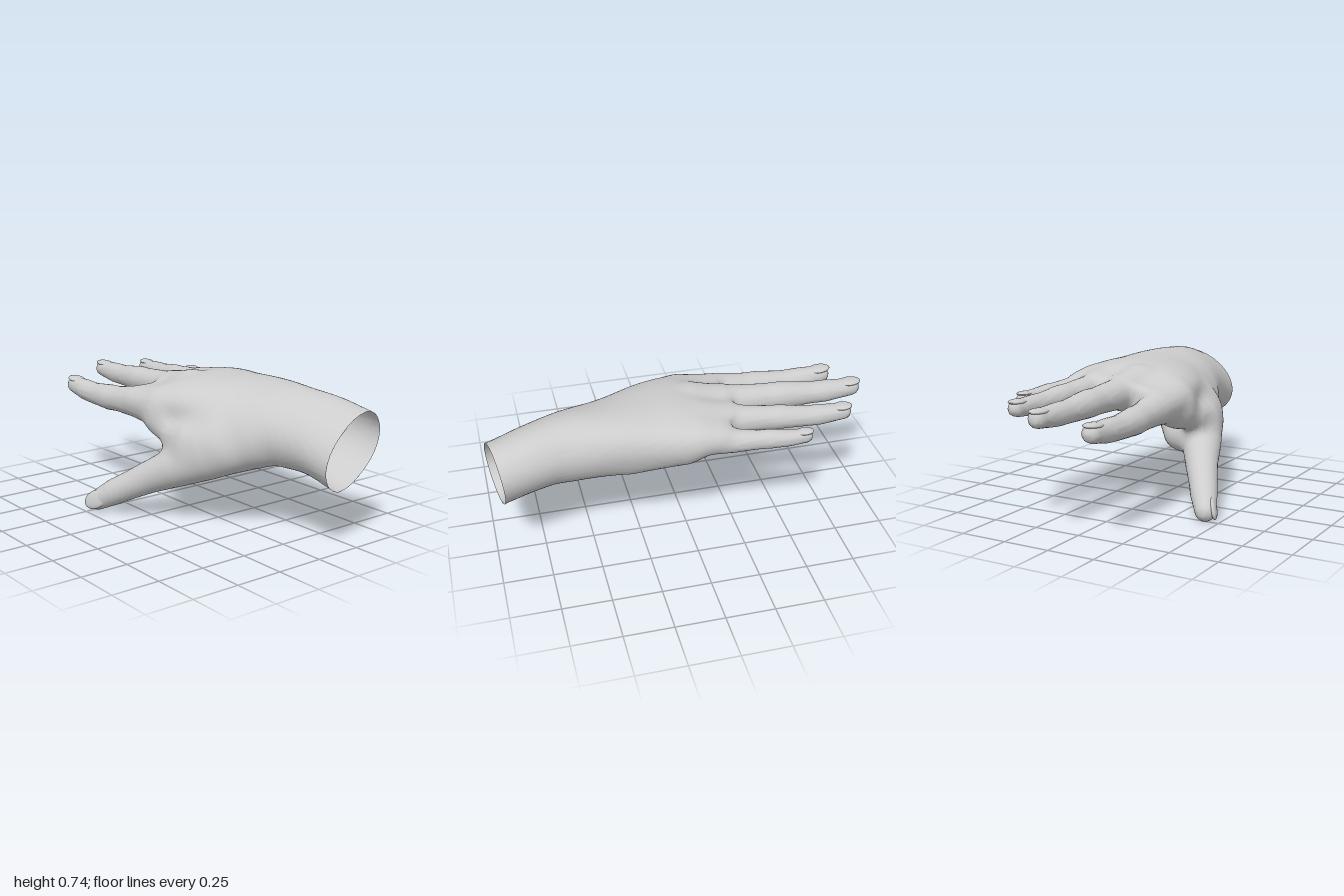
import * as THREE from 'three';

// Digits as chains of joints: [x, y, z, radius], knuckle to tip
const indexFinger = [[-0.06, 0.556, 0.122, 0.113], [-0.27, 0.555, 0.147, 0.085], [-0.42, 0.545, 0.16, 0.07],
  [-0.5, 0.54, 0.165, 0.071], [-0.65, 0.535, 0.167, 0.06], [-0.75, 0.54, 0.167, 0.059], [-0.87, 0.55, 0.165, 0.048]];
const middleFinger = [[-0.08, 0.635, -0.06, 0.095], [-0.27, 0.615, -0.065, 0.08], [-0.47, 0.61, -0.07, 0.069],
  [-0.55, 0.608, -0.072, 0.071], [-0.72, 0.6, -0.075, 0.058], [-0.8, 0.6, -0.078, 0.058], [-0.945, 0.605, -0.08, 0.046]];
const ringFinger = [[-0.08, 0.63, -0.235, 0.086], [-0.25, 0.62, -0.25, 0.073], [-0.42, 0.615, -0.268, 0.061],
  [-0.48, 0.613, -0.275, 0.062], [-0.62, 0.605, -0.288, 0.053], [-0.68, 0.605, -0.293, 0.053], [-0.815, 0.61, -0.3, 0.042]];
const littleFinger = [[-0.05, 0.61, -0.37, 0.08], [-0.2, 0.6, -0.405, 0.06], [-0.32, 0.6, -0.425, 0.049],
  [-0.38, 0.6, -0.432, 0.05], [-0.47, 0.597, -0.443, 0.043], [-0.56, 0.6, -0.45, 0.036]];
const thumb = [[0.5, 0.45, -0.01, 0.11], [0.3, 0.37, 0.115, 0.12], [0.15, 0.295, 0.197, 0.105],
  [0.02, 0.225, 0.265, 0.086], [-0.08, 0.165, 0.325, 0.075], [-0.16, 0.117, 0.372, 0.07], [-0.245, 0.06, 0.425, 0.055]];
const thumbWeb = [[0.34, 0.46, 0.085, 0.11], [0.22, 0.44, 0.15, 0.1], [0.1, 0.45, 0.17, 0.075], [-0.03, 0.49, 0.155, 0.07]];
const ballOfThumb = [[0.46, 0.44, -0.04, 0.108], [0.31, 0.37, -0.025, 0.108], [0.18, 0.34, 0.06, 0.1]];
const heelOfPalm = [[0.56, 0.54, -0.23, 0.115], [0.3, 0.53, -0.29, 0.103], [0.05, 0.56, -0.35, 0.08]];

// Palm and wrist sections every 0.2 along x: [centre y, centre z, half width, half height, tilt]
const sections = [
  [0.605, -0.115, 0.325, 0.08, 0.1], [0.605, -0.12, 0.33, 0.13, 0.07], [0.602, -0.13, 0.295, 0.137, 0.1],
  [0.58, -0.15, 0.26, 0.15, 0.26], [0.552, -0.165, 0.232, 0.168, 0.44], [0.53, -0.21, 0.215, 0.165, 0.52],
  [0.479, -0.237, 0.22, 0.162, 0.6], [0.44, -0.25, 0.225, 0.165, 0.62]];
const PALM_START = -0.2;

// Limits in x where the wrist ends and where the fingers part
const wristX = (y, z) => 0.97 + 0.15 * (z + 0.235) + 0.1 * (y - 0.485);
const fingerWebX = (z) => -0.265 + 0.4 * Math.max(0, -0.17 - z);

function smoothMin(a, b, k) {
  const h = Math.max(k - Math.abs(a - b), 0) / k;
  return Math.min(a, b) - h * h * k / 4;
}

// Distance to a chain of tapered capsules
function chain(joints, x, y, z) {
  let best = Infinity;
  for (let i = 1; i < joints.length; i++) {
    const a = joints[i - 1], b = joints[i];
    const bx = b[0] - a[0], by = b[1] - a[1], bz = b[2] - a[2];
    const px = x - a[0], py = y - a[1], pz = z - a[2];
    const t = Math.min(1, Math.max(0, (px * bx + py * by + pz * bz) / (bx * bx + by * by + bz * bz)));
    best = Math.min(best, Math.hypot(px - t * bx, py - t * by, pz - t * bz) - a[3] - t * (b[3] - a[3]));
  }
  return best;
}

// Distance to the palm and wrist, a smooth loft of tilted rounded sections
function palm(x, y, z) {
  const last = sections.length - 1;
  const s = Math.min(last - 0.001, Math.max(0, (x - PALM_START) / 0.2));
  const i = Math.floor(s), t = s - i;
  const [cy, cz, a, b, tilt] = sections[i].map((p1, n) => {
    const p2 = sections[i + 1][n];
    const p0 = sections[Math.max(0, i - 1)][n], p3 = sections[Math.min(last, i + 2)][n];
    return p1 + 0.5 * t * (p2 - p0 + t * (2 * p0 - 5 * p1 + 4 * p2 - p3 + t * (3 * (p1 - p2) + p3 - p0)));
  });
  const dy = y - cy, dz = z - cz, c = Math.cos(tilt), sn = Math.sin(tilt);
  const u = dz * c - dy * sn, v = dy * c + dz * sn, n = 2.2;
  const q = Math.pow(Math.pow(Math.abs(u / a), n) + Math.pow(Math.abs(v / b), n), 1 / n) + 1e-6;
  const d = Math.hypot(u, v) * (1 - 1 / q);
  return -smoothMin(-d, x - fingerWebX(z), 0.06);
}

// All parts of the hand blended together
function hand(x, y, z) {
  let d = chain(indexFinger, x, y, z);
  for (const finger of [middleFinger, ringFinger, littleFinger]) d = smoothMin(d, chain(finger, x, y, z), 0.025);
  d = smoothMin(d, palm(x, y, z), 0.05);
  d = smoothMin(d, chain(heelOfPalm, x, y, z), 0.09);
  let t = smoothMin(chain(thumb, x, y, z), chain(thumbWeb, x, y, z), 0.07);
  t = smoothMin(t, chain(ballOfThumb, x, y, z), 0.05);
  return smoothMin(d, t, 0.08);
}

// Skin: one vertex per grid cell the surface crosses, joined by quads
function skinGeometry() {
  const cell = 0.016, min = [-1.06, -0.04, -0.56];
  const size = [2.16, 0.88, 1.1].map((s) => Math.ceil(s / cell));
  const stride = [1, size[0], size[0] * size[1]];
  const field = new Float32Array(size[0] * size[1] * size[2]);
  const eachCell = (start, visit) => {
    for (let k = start; k < size[2] - 1; k++)
      for (let j = start; j < size[1] - 1; j++)
        for (let i = start; i < size[0] - 1; i++) visit([i, j, k], i + j * stride[1] + k * stride[2]);
  };
  for (let id = 0; id < field.length; id++) {
    const i = id % size[0], j = Math.floor(id / size[0]) % size[1], k = Math.floor(id / stride[2]);
    field[id] = hand(min[0] + i * cell, min[1] + j * cell, min[2] + k * cell);
  }

  const corners = [0, 1, 2, 3, 4, 5, 6, 7].map((n) => [n & 1, (n >> 1) & 1, n >> 2]);
  const vertexOf = new Int32Array(field.length).fill(-1);
  const positions = [], beyond = [], index = [];
  eachCell(0, (ijk, id) => {
    const sum = [0, 0, 0];
    let count = 0;
    for (const corner of corners) {
      const p = id + corner[0] + corner[1] * stride[1] + corner[2] * stride[2];
      for (let axis = 0; axis < 3; axis++) {
        if (corner[axis]) continue;
        const f0 = field[p], f1 = field[p + stride[axis]];
        if ((f0 < 0) === (f1 < 0)) continue;
        for (let n = 0; n < 3; n++) sum[n] += corner[n] + (n === axis ? f0 / (f0 - f1) : 0);
        count++;
      }
    }
    if (!count) return;
    const [x, y, z] = sum.map((s, n) => min[n] + (ijk[n] + s / count) * cell);
    vertexOf[id] = beyond.length;
    beyond.push(x > wristX(y, z));
    positions.push(Math.min(x, wristX(y, z)), y, z);
  });

  eachCell(1, (ijk, id) => {
    for (let axis = 0; axis < 3; axis++) {
      const inside = field[id] < 0;
      if (inside === field[id + stride[axis]] < 0) continue;
      const b = stride[(axis + 1) % 3], c = stride[(axis + 2) % 3];
      const quad = [id, id - b, id - b - c, id - c].map((n) => vertexOf[n]);
      if (quad.every((v) => beyond[v])) continue; // leaves the wrist open
      if (!inside) quad.reverse();
      index.push(quad[0], quad[1], quad[2], quad[0], quad[2], quad[3]);
    }
  });
  const geometry = new THREE.BufferGeometry();
  geometry.setAttribute('position', new THREE.Float32BufferAttribute(positions, 3));
  geometry.setIndex(index);
  geometry.computeVertexNormals();
  return geometry;
}

export function createModel() {
  const group = new THREE.Group();
  const skin = new THREE.MeshStandardMaterial({ color: 0xcccccc, side: THREE.DoubleSide });
  skin.name = 'skin grey';

  const body = new THREE.Mesh(skinGeometry(), skin);
  body.name = 'handSkin';
  group.add(body);

  // Nails: shallow domes set into the back of each fingertip
  const dome = new THREE.SphereGeometry(1, 24, 12);
  const addNail = (name, joints, up) => {
    const [b, a] = joints.slice(-2).map((j) => new THREE.Vector3(...j));
    const r = joints[joints.length - 1][3];
    const along = a.clone().sub(b).normalize();
    const normal = up.clone().addScaledVector(along, -up.dot(along)).normalize();
    const nail = new THREE.Mesh(dome, skin);
    nail.name = name;
    nail.quaternion.setFromRotationMatrix(
      new THREE.Matrix4().makeBasis(along, normal, along.clone().cross(normal)));
    nail.scale.set(r * 1.3, r * 0.32, r * 0.88);
    nail.position.copy(a).addScaledVector(normal, r * 0.76).addScaledVector(along, -r * 0.2);
    group.add(nail);
  };
  const up = new THREE.Vector3(0, 1, 0);
  addNail('indexNail', indexFinger, up);
  addNail('middleNail', middleFinger, up);
  addNail('ringNail', ringFinger, up);
  addNail('littleNail', littleFinger, up);
  addNail('thumbNail', thumb, new THREE.Vector3(0.4, 0.2, 0.9));
  return group;
}
